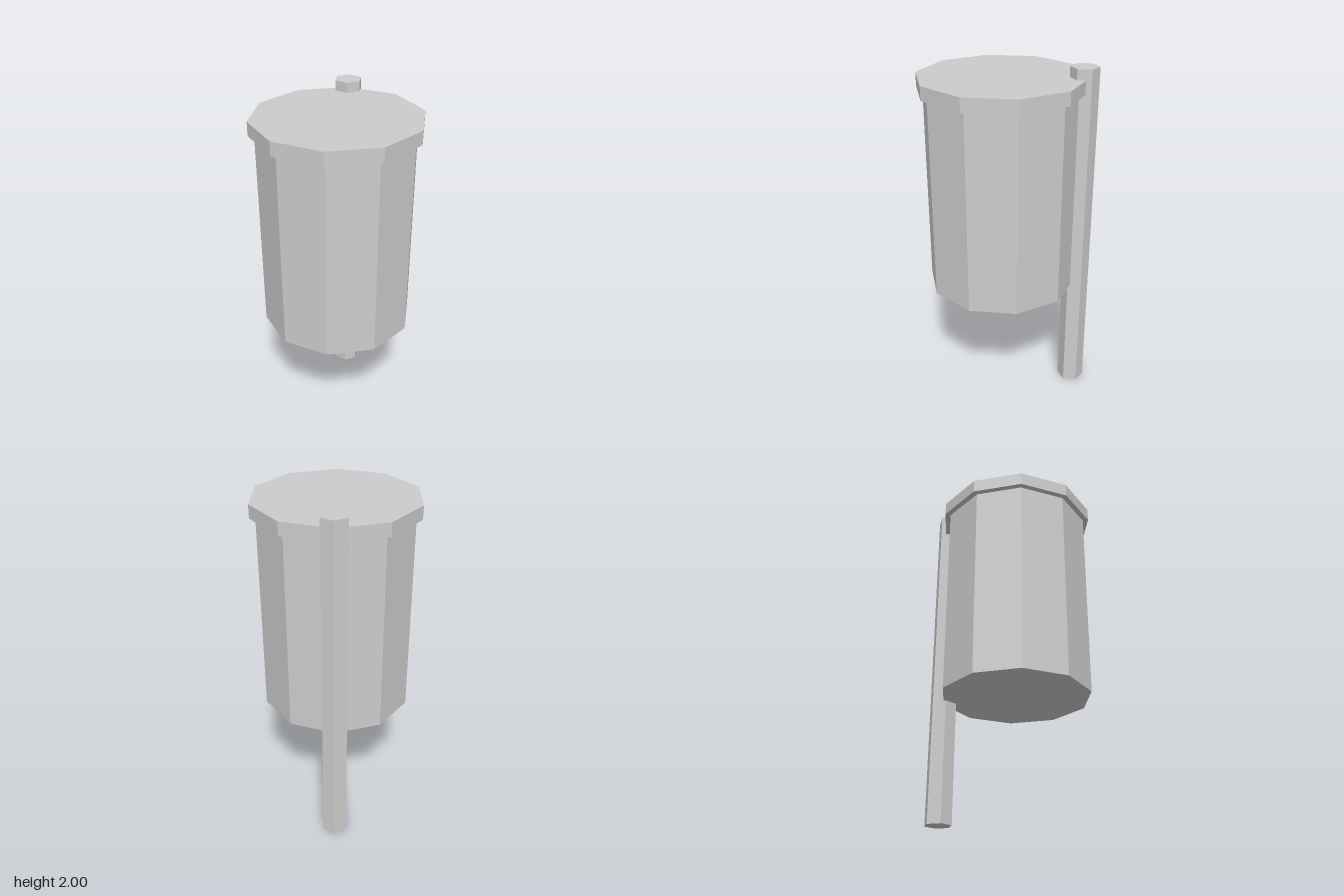
import * as THREE from 'three';

export function createModel() {
  const model = new THREE.Group();
  const grey = new THREE.MeshStandardMaterial({ color: 0xcccccc, flatShading: true });
  grey.name = 'light grey';

  // Upright faceted prism between two heights, one corner facing the front
  function prism(name, radius, sides, bottom, top, z) {
    const geometry = new THREE.CylinderGeometry(radius, radius, top - bottom, sides);
    const mesh = new THREE.Mesh(geometry, grey);
    mesh.name = name;
    mesh.position.set(0, (bottom + top) / 2, z);
    model.add(mesh);
  }

  prism('binBody', 0.438, 10, 0.705, 1.865, 0.024); // ten-sided container
  prism('binLid', 0.471, 10, 1.865, 1.942, 0.024); // wider rim and flat top
  prism('post', 0.079, 6, 0, 2, -0.417); // hexagonal pole behind

  return model;
}
